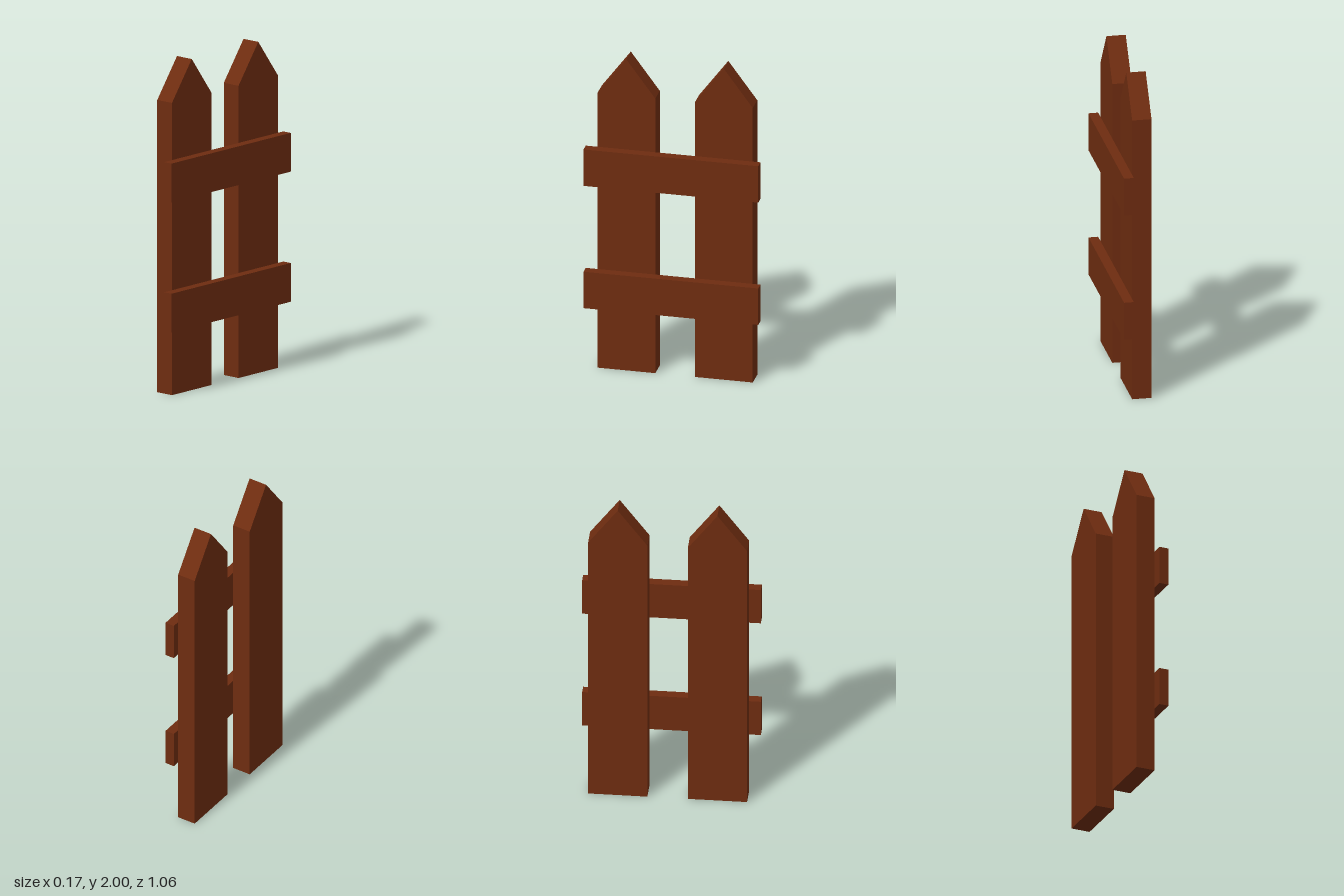
import * as THREE from 'three';

export function createModel() {
  const fence = new THREE.Group();
  fence.name = 'picketFence';
  const wood = new THREE.MeshStandardMaterial({ color: 0x6e2c10 });

  // Pointed picket outline, extruded through its thickness and turned to face +x
  const halfWidth = 0.175, shoulder = 1.765, thickness = 0.116;
  const outline = new THREE.Shape([
    new THREE.Vector2(-halfWidth, 0),
    new THREE.Vector2(halfWidth, 0),
    new THREE.Vector2(halfWidth, shoulder),
    new THREE.Vector2(0, 2),
    new THREE.Vector2(-halfWidth, shoulder),
  ]);
  const picketGeometry = new THREE.ExtrudeGeometry(outline, { depth: thickness, bevelEnabled: false });
  picketGeometry.rotateY(Math.PI / 2);

  // Two upright pickets
  for (const [name, z] of [['frontPicket', 0.283], ['backPicket', -0.306]]) {
    const picket = new THREE.Mesh(picketGeometry, wood);
    picket.name = name;
    picket.position.set(-0.087, 0, z);
    fence.add(picket);
  }

  // Two horizontal rails fixed to the +x faces of the pickets
  const railGeometry = new THREE.BoxGeometry(0.058, 0.234, 1.056);
  for (const [name, y] of [['lowerRail', 0.517], ['upperRail', 1.303]]) {
    const rail = new THREE.Mesh(railGeometry, wood);
    rail.name = name;
    rail.position.set(0.058, y, 0);
    fence.add(rail);
  }

  return fence;
}
